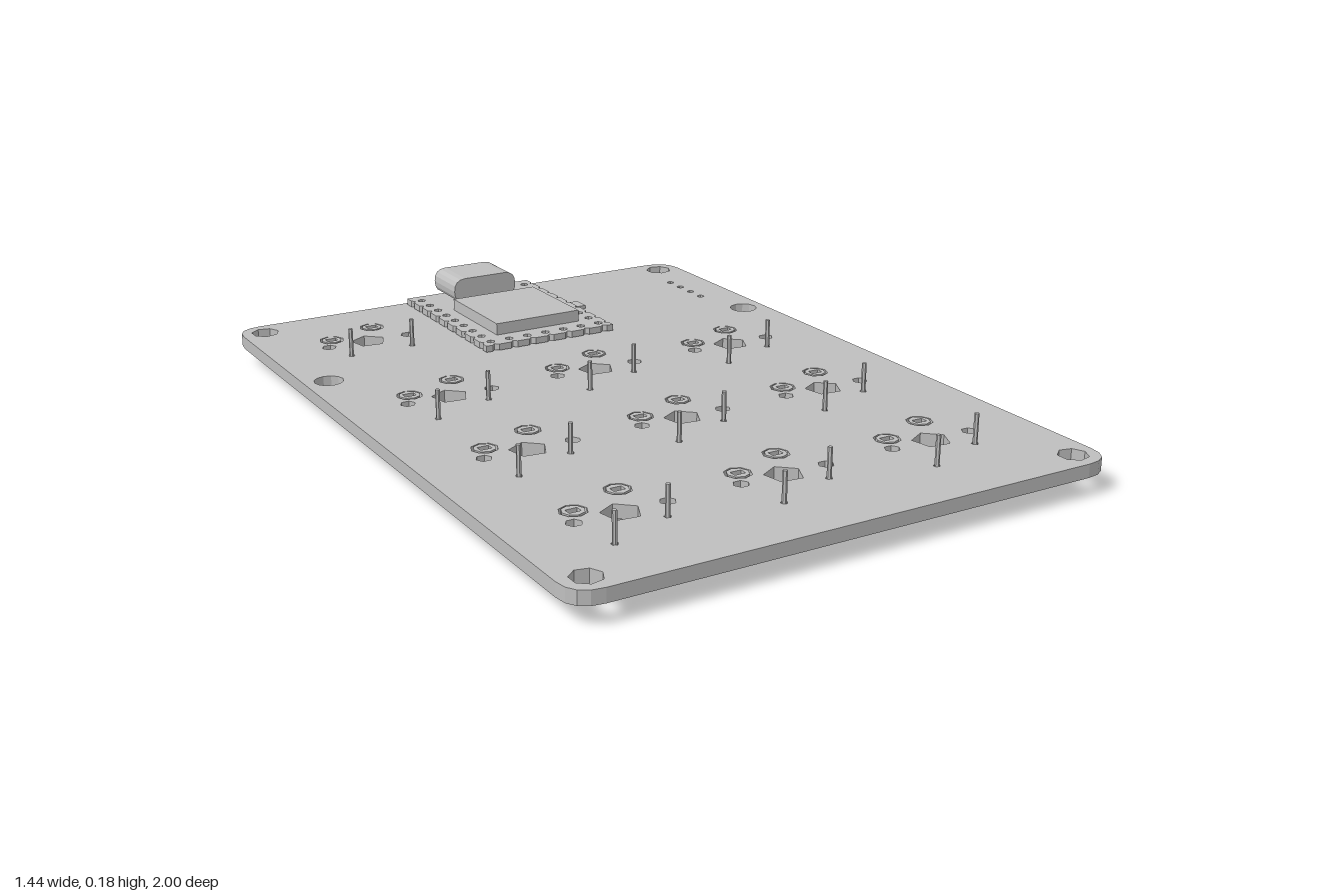
import * as THREE from 'three';

export function createModel() {
  const model = new THREE.Group();
  model.name = 'macroPadBoard';
  const grey = new THREE.MeshStandardMaterial({ color: 0xbfbfbf, flatShading: true });
  grey.name = 'plain grey';

  const add = (parent, name, geo, x = 0, y = 0, z = 0) => {
    const m = new THREE.Mesh(geo, grey);
    m.name = name;
    m.position.set(x, y, z);
    parent.add(m);
    return m;
  };
  // Polygonal hole in plan; shape y is -z
  const hole = (x, z, r, n, turn = 0) => {
    const pts = [];
    for (let i = 0; i < n; i++) {
      const a = turn + (i / n) * Math.PI * 2;
      pts.push(new THREE.Vector2(x + r * Math.cos(a), -z + r * Math.sin(a)));
    }
    return new THREE.Path(pts);
  };
  // Horizontal plate from y0 upward
  const slab = (shape, y0, h, segs = 4) => {
    const g = new THREE.ExtrudeGeometry(shape, { depth: h, bevelEnabled: false, curveSegments: segs });
    return g.rotateX(-Math.PI / 2).translate(0, y0, 0);
  };
  const roundRect = (w, h, r) => {
    const s = new THREE.Shape(), a = w / 2, b = h / 2;
    s.moveTo(-a + r, -b).lineTo(a - r, -b).quadraticCurveTo(a, -b, a, -b + r);
    s.lineTo(a, b - r).quadraticCurveTo(a, b, a - r, b);
    s.lineTo(-a + r, b).quadraticCurveTo(-a, b, -a, b - r);
    s.lineTo(-a, -b + r).quadraticCurveTo(-a, -b, -a + r, -b);
    return s;
  };

  // Key positions: a 3 x 3 grid plus one at the back left
  const keys = [[-0.43, -0.715, true]];
  for (const z of [-0.18, 0.255, 0.69]) for (const x of [-0.43, 0, 0.43]) keys.push([x, z, false]);
  const pads = [[-0.088, -0.058], [0.057, -0.115]];
  const leadHoles = (level) => (level ? [[-0.092, 0.1], [0.088, 0.1]] : [[-0.097, 0.138], [0.073, 0.073]]);

  // Pin positions of the controller: both long sides and the near short side
  const pitch = 0.0575, cx = 0.005;
  const pins = [];
  for (let i = 0; i < 9; i++) for (const s of [-1, 1]) pins.push([cx + s * 0.171, -0.94 + i * pitch]);
  for (let i = 1; i < 6; i++) pins.push([cx - 0.171 + i * 0.057, -0.48]);

  // Main board with all drillings
  const board = roundRect(1.44, 2, 0.075);
  for (const s of [-1, 1]) {
    for (const z of [-0.935, 0.935]) board.holes.push(hole(s * 0.654, z, 0.038, 7));
    board.holes.push(hole(s * 0.654, -0.45, 0.039, 12));
  }
  for (let i = 0; i < 4; i++) board.holes.push(hole(0.61, -0.79 + i * 0.058, 0.011, 6));
  for (const [x, z] of pins) board.holes.push(hole(x, z, 0.009, 5));
  for (const [kx, kz, level] of keys) {
    board.holes.push(hole(kx, kz, 0.048, 5, 0.2));
    for (const s of [-1, 1]) board.holes.push(hole(kx + s * 0.118, kz, 0.02, 6));
    for (const [px, pz] of pads) board.holes.push(hole(kx + px, kz + pz, 0.034, 8));
    for (const [px, pz] of leadHoles(level)) board.holes.push(hole(kx + px, kz + pz, 0.009, 5));
  }
  add(model, 'mainBoard', slab(board, 0.05, 0.035));

  // Switch socket: stepped body, two hollow barrels, two solder tabs
  const body = new THREE.Shape();
  body.moveTo(-0.14, 0.02).lineTo(-0.14, 0.109).quadraticCurveTo(-0.138, 0.152, -0.091, 0.154);
  body.lineTo(0.1, 0.154).lineTo(0.109, 0.145).lineTo(0.109, 0.075).lineTo(0.1, 0.066).lineTo(-0.01, 0.066);
  body.quadraticCurveTo(-0.048, 0.062, -0.055, 0.02);
  const socketGeo = slab(body, 0.009, 0.041);
  const barrel = new THREE.Shape(hole(0, 0, 0.028, 8).getPoints());
  const slot = [[-0.015, -0.01], [0.015, -0.01], [0.015, 0.01], [-0.015, 0.01]];
  barrel.holes.push(new THREE.Path(slot.map(([x, y]) => new THREE.Vector2(x, y))));
  const barrelGeo = slab(barrel, 0.05, 0.036);
  const contactGeo = new THREE.BoxGeometry(0.022, 0.028, 0.007);
  const tabGeo = new THREE.BoxGeometry(0.052, 0.034, 0.062);

  // Diode body: cylinder with softened ends, lying along x
  const diodeGeo = new THREE.LatheGeometry(
    [[0, -0.054], [0.016, -0.054], [0.022, -0.046], [0.022, 0.046], [0.016, 0.054], [0, 0.054]]
      .map(([r, y]) => new THREE.Vector2(r, y)), 10).rotateZ(-Math.PI / 2);

  for (const [kx, kz, level] of keys) {
    const key = new THREE.Group();
    key.name = 'keyPosition';
    key.position.set(kx, 0, kz);
    model.add(key);

    add(key, 'socketBody', socketGeo);
    pads.forEach(([px, pz], i) => {
      add(key, 'socketBarrel', barrelGeo, px, 0, pz);
      add(key, 'socketContact', contactGeo, px, 0.065, pz);
      add(key, 'socketTab', tabGeo, i ? 0.12 : -0.164, 0.027, pz);
    });

    const [a, b] = leadHoles(level).map(([x, z]) => new THREE.Vector3(x, 0.022, z));
    const mid = a.clone().add(b).multiplyScalar(0.5);
    const dir = b.clone().sub(a).normalize();
    const diode = add(key, 'diodeBody', diodeGeo, mid.x, mid.y, mid.z);
    diode.rotation.y = Math.atan2(-dir.z, dir.x);
    // Bent leads rise through the board
    for (const [end, s] of [[a, -1], [b, 1]]) {
      const path = new THREE.CurvePath();
      const start = mid.clone().addScaledVector(dir, s * 0.05);
      const bend = end.clone().addScaledVector(dir, -s * 0.02);
      const rise = end.clone().setY(0.042), top = end.clone().setY(0.162);
      path.add(new THREE.LineCurve3(start, bend));
      path.add(new THREE.QuadraticBezierCurve3(bend, end, rise));
      path.add(new THREE.LineCurve3(rise, top));
      add(key, 'diodeLead', new THREE.TubeGeometry(path, 24, 0.006, 6));
      const cap = add(key, 'leadTip', new THREE.CircleGeometry(0.006, 6), top.x, top.y, top.z);
      cap.rotation.x = -Math.PI / 2;
    }
  }

  // Controller board with notched edges and pin holes
  const controller = new THREE.Group();
  controller.name = 'controller';
  model.add(controller);
  const L = cx - 0.2, R = cx + 0.2, nr = 0.01;
  const plate = new THREE.Shape();
  plate.moveTo(L, 0.98);
  for (let i = 0; i < 9; i++) {
    const y = 0.94 - i * pitch;
    plate.lineTo(L, y + nr).lineTo(L + nr, y).lineTo(L, y - nr);
  }
  plate.lineTo(L, 0.447);
  for (let i = 0; i < 7; i++) {
    const x = cx - 0.171 + i * 0.057;
    plate.lineTo(x - nr, 0.447).lineTo(x, 0.447 + nr).lineTo(x + nr, 0.447);
  }
  plate.lineTo(R, 0.447);
  for (let i = 8; i >= 0; i--) {
    const y = 0.94 - i * pitch;
    plate.lineTo(R, y - nr).lineTo(R - nr, y).lineTo(R, y + nr);
  }
  plate.lineTo(R, 0.98);
  for (const [x, z] of pins) plate.holes.push(hole(x, z, 0.012, 6));
  add(controller, 'controllerBoard', slab(plate, 0.087, 0.018));
  add(controller, 'shieldCan', new THREE.BoxGeometry(0.26, 0.033, 0.28), cx, 0.1215, -0.663);
  add(controller, 'sideComponent', new THREE.BoxGeometry(0.03, 0.01, 0.05), 0.23, 0.09, -0.705);

  // Port: rounded hollow shell open to the back, with a tongue inside
  const shell = roundRect(0.2, 0.073, 0.036);
  shell.holes.push(new THREE.Path(roundRect(0.18, 0.053, 0.026).getPoints(4)));
  const shellGeo = new THREE.ExtrudeGeometry(shell, { depth: 0.13, bevelEnabled: false, curveSegments: 4 });
  add(controller, 'portShell', shellGeo, cx, 0.1405, -1);
  const backGeo = new THREE.ExtrudeGeometry(roundRect(0.2, 0.073, 0.036), { depth: 0.01, bevelEnabled: false, curveSegments: 4 });
  add(controller, 'portEnd', backGeo, cx, 0.1405, -0.87);
  add(controller, 'portTongue', new THREE.BoxGeometry(0.14, 0.016, 0.11), cx, 0.1405, -0.925);

  return model;
}
